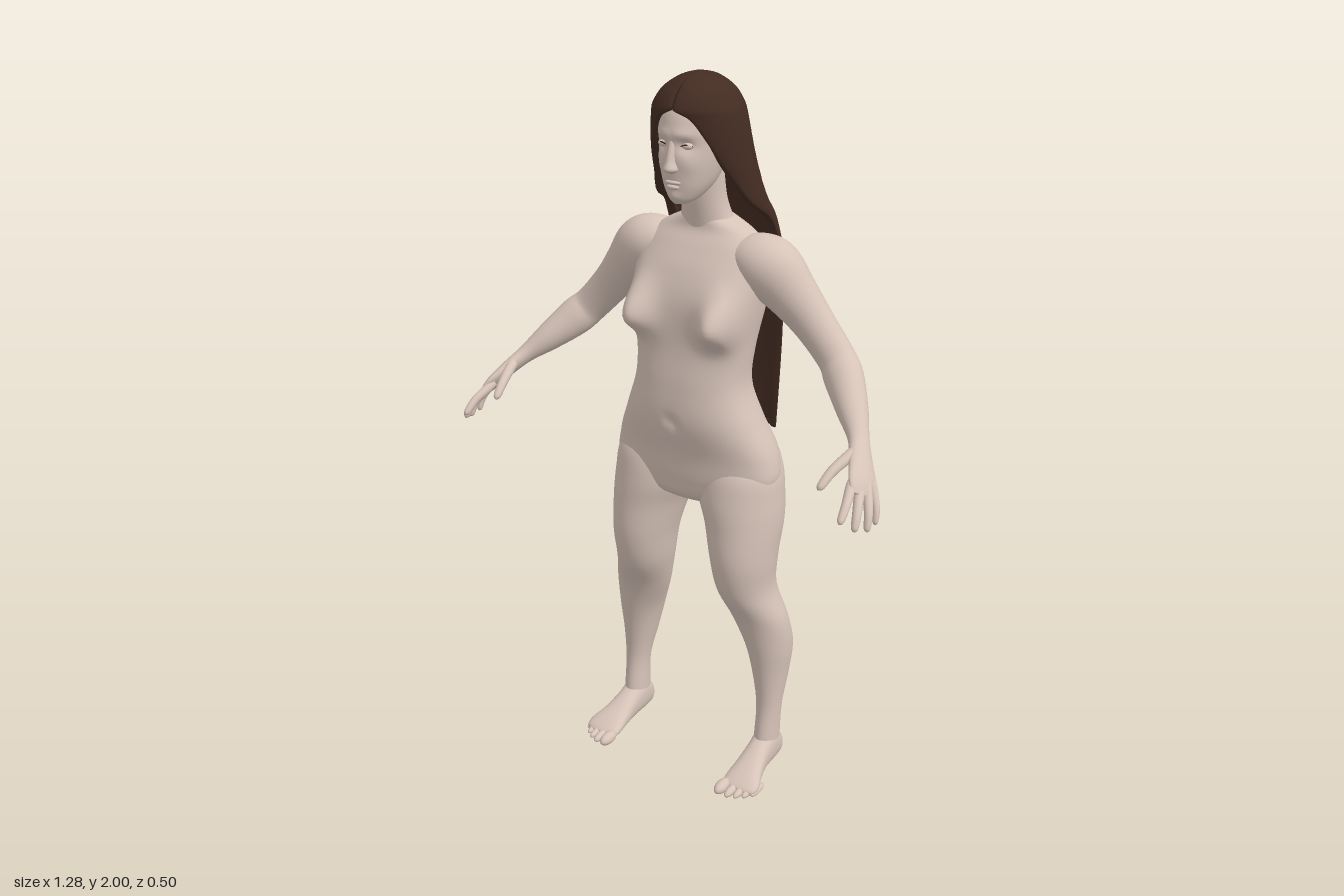
import * as THREE from 'three';

const V3 = (x, y, z) => new THREE.Vector3(x, y, z);
const UP = V3(0, 1, 0), FWD = V3(0, 0, 1), SIDE = V3(1, 0, 0);
const gauss = (d, s) => Math.exp(-(d * d) / (s * s));
const clamp01 = (v) => Math.min(1, Math.max(0, v));

// Smoothly resamples rows of numbers (Catmull-Rom on every column)
function smooth(rows, steps) {
  const out = [], n = rows.length - 1;
  for (let i = 0; i < n; i++) {
    const p0 = rows[Math.max(i - 1, 0)], p1 = rows[i], p2 = rows[i + 1], p3 = rows[Math.min(i + 2, n)];
    for (let s = 0; s < steps; s++) {
      const t = s / steps;
      out.push(p1.map((v, k) => {
        const slope = p2[k] - p0[k];
        const quad = 2 * p0[k] - 5 * v + 4 * p2[k] - p3[k];
        const cubic = 3 * v - p0[k] - 3 * p2[k] + p3[k];
        return v + 0.5 * t * (slope + t * (quad + t * cubic));
      }));
    }
  }
  out.push(rows[n]);
  return out;
}

// Skins a list of closed rings of points and caps both ends
function skin(rings) {
  const n = rings[0].length, pts = rings.flat(), index = [];
  for (let i = 0; i < rings.length - 1; i++) {
    for (let j = 0; j < n; j++) {
      const a = i * n + j, b = i * n + (j + 1) % n;
      index.push(a, b, a + n, b, b + n, a + n);
    }
  }
  const mid = (r) => r.reduce((s, p) => s.add(p), V3(0, 0, 0)).divideScalar(n);
  const last = (rings.length - 1) * n, c0 = pts.length;
  pts.push(mid(rings[0]), mid(rings[rings.length - 1]));
  for (let j = 0; j < n; j++) {
    const k = (j + 1) % n;
    index.push(c0, k, j, c0 + 1, last + j, last + k);
  }
  const g = new THREE.BufferGeometry().setFromPoints(pts);
  g.setIndex(index);
  g.computeVertexNormals();
  return g;
}

// Lofts ovals [x, y, z, radiusU, radiusV]; rings face a fixed axis or follow the path
function loft(rows, { axis = null, hint = SIDE, power = 2, steps = 6, seg = 40, shape = null } = {}) {
  const r = smooth(rows, steps);
  const at = (i) => V3(...r[Math.min(Math.max(i, 0), r.length - 1)].slice(0, 3));
  const bend = (v) => Math.sign(v) * Math.abs(v) ** (2 / power);
  return skin(r.map(([x, y, z, a, b], i) => {
    const T = axis || at(i + 1).sub(at(i - 1)).normalize();
    const V = T.clone().cross(hint).normalize(), U = V.clone().cross(T);
    return Array.from({ length: seg }, (_, j) => {
      const t = j / seg * Math.PI * 2;
      const p = V3(x, y, z).addScaledVector(U, Math.max(a, 0.001) * bend(Math.cos(t)))
        .addScaledVector(V, Math.max(b, 0.001) * bend(Math.sin(t)));
      if (shape) shape(p);
      return p;
    });
  }));
}

function mirrored(g) {
  const m = g.clone().scale(-1, 1, 1), ix = m.index.array;
  for (let i = 0; i < ix.length; i += 3) [ix[i], ix[i + 1]] = [ix[i + 1], ix[i]];
  return m;
}

const ball = (x, y, z, rx, ry, rz) => new THREE.SphereGeometry(1, 20, 14).scale(rx, ry, rz).translate(x, y, z);

// Soft swellings of the chest, seat and belly
function bodyShape(p) {
  const x = Math.abs(p.x);
  const front = clamp01((p.z + 0.04) / 0.06), back = clamp01((-0.05 - p.z) / 0.08);
  p.z += front * 0.075 * gauss(x - 0.13, 0.055) * gauss(p.y - 1.378, p.y > 1.378 ? 0.08 : 0.05);
  p.z -= back * 0.095 * gauss(x - 0.11, 0.085) * gauss(p.y - 0.94, 0.095);
  p.z -= front * 0.012 * gauss(x, 0.015) * gauss(p.y - 1.1, 0.018);
  p.z += back * 0.012 * gauss(x, 0.03) * clamp01((p.y - 1.0) * 5);
}

// Eye sockets, brow, cheeks and chin
function faceShape(p) {
  const x = Math.abs(p.x);
  if (p.z < 0) return;
  p.z -= 0.011 * gauss(x - 0.034, 0.02) * gauss(p.y - 1.835, 0.016);
  p.z += 0.005 * gauss(x - 0.03, 0.03) * gauss(p.y - 1.862, 0.012);
  p.z += 0.005 * gauss(x - 0.045, 0.022) * gauss(p.y - 1.79, 0.025);
  p.z += 0.007 * gauss(x, 0.02) * gauss(p.y - 1.705, 0.014);
}

// Long hair: crescent rings open to the front, [y, width, z, depth, half angle, thickness]
function hairGeometry() {
  const rows = smooth([
    [1.04, 0.163, -0.195, 0.034, 1.57, 0.0], [1.043, 0.163, -0.195, 0.035, 1.57, 0.02],
    [1.3, 0.17, -0.2, 0.04, 1.57, 0.022], [1.5, 0.17, -0.193, 0.042, 1.6, 0.022],
    [1.62, 0.166, -0.158, 0.06, 1.7, 0.022], [1.68, 0.158, -0.11, 0.095, 1.95, 0.022],
    [1.75, 0.145, -0.085, 0.11, 2.2, 0.03], [1.8, 0.136, -0.07, 0.12, 2.33, 0.035],
    [1.85, 0.129, -0.06, 0.122, 2.5, 0.035], [1.9, 0.12, -0.053, 0.122, 2.75, 0.03],
    [1.925, 0.111, -0.05, 0.121, 3.14, 0.025], [1.96, 0.087, -0.05, 0.099, 3.14, 0.02],
    [1.988, 0.045, -0.05, 0.058, 3.14, 0.01], [2.0, 0.004, -0.05, 0.004, 3.14, 0.0],
  ], 6);
  const n = 56;
  return skin(rows.map(([y, a, zc, b, A, t]) => {
    const half = Math.min(A, Math.PI), ring = [];
    const flat = 1 - 0.4 * clamp01((1.72 - y) / 0.15), groove = 0.004 * clamp01((1.85 - y) / 0.3);
    const point = (th, inset) => {
      const c = Math.cos(th), strand = inset ? 0 : groove * Math.sin(th * 17 + Math.sin(th * 7) * 2);
      return V3(Math.max(a - inset, 0) * Math.sin(th), y,
        zc - Math.max(b - inset, 0.002) * Math.sign(c) * Math.abs(c) ** flat - strand);
    };
    for (let j = 0; j <= n; j++) ring.push(point(half * (1 - 2 * j / n), 0));
    for (let j = 0; j <= n; j++) ring.push(point(-half * (1 - 2 * j / n), t));
    return ring;
  }));
}

export function createModel() {
  const model = new THREE.Group();
  const skinMat = new THREE.MeshStandardMaterial({ color: 0xd6c3b8 });
  skinMat.name = 'skin';
  const hairMat = new THREE.MeshStandardMaterial({ color: 0x432c22, side: THREE.DoubleSide });
  hairMat.name = 'darkBrownHair';
  const add = (name, g, mat = skinMat) => {
    const m = new THREE.Mesh(g, mat);
    m.name = name;
    model.add(m);
  };
  const pair = (name, g, mat) => {
    add(name + 'Left', g, mat);
    add(name + 'Right', mirrored(g), mat);
  };

  // Torso, from the hips up to the shoulders
  add('torso', loft([
    [0, 0.83, -0.06, 0.04, 0.04], [0, 0.865, -0.055, 0.16, 0.095], [0, 0.92, -0.05, 0.245, 0.105],
    [0, 1.0, -0.052, 0.242, 0.115], [0, 1.1, -0.037, 0.2, 0.122], [0, 1.2, -0.03, 0.166, 0.11],
    [0, 1.3, -0.04, 0.17, 0.105], [0, 1.42, -0.06, 0.188, 0.115], [0, 1.5, -0.08, 0.195, 0.108],
    [0, 1.56, -0.092, 0.175, 0.085], [0, 1.6, -0.098, 0.13, 0.065], [0, 1.63, -0.095, 0.07, 0.058],
  ], { axis: UP, power: 2.3, steps: 8, seg: 96, shape: bodyShape }));

  // Neck and head
  add('neck', loft([
    [0, 1.57, -0.1, 0.1, 0.06], [0, 1.62, -0.093, 0.074, 0.06], [0, 1.68, -0.078, 0.06, 0.056],
    [0, 1.76, -0.065, 0.058, 0.055],
  ], { axis: UP }));
  add('head', loft([
    [0, 1.686, 0.025, 0.02, 0.025], [0, 1.7, 0.01, 0.04, 0.048], [0, 1.73, -0.01, 0.06, 0.078],
    [0, 1.77, -0.025, 0.073, 0.098], [0, 1.82, -0.035, 0.081, 0.11], [0, 1.88, -0.04, 0.084, 0.112],
    [0, 1.93, -0.045, 0.074, 0.098], [0, 1.965, -0.05, 0.045, 0.06], [0, 1.98, -0.05, 0.01, 0.01],
  ], { axis: UP, steps: 9, seg: 96, shape: faceShape }));
  add('nose', loft([
    [0, 1.768, 0.07, 0.008, 0.01], [0, 1.778, 0.075, 0.019, 0.023], [0, 1.8, 0.073, 0.012, 0.018],
    [0, 1.84, 0.067, 0.009, 0.011], [0, 1.862, 0.062, 0.007, 0.006],
  ], { axis: UP, seg: 24 }));
  add('upperLip', ball(0, 1.744, 0.066, 0.023, 0.006, 0.01));
  add('lowerLip', ball(0, 1.732, 0.064, 0.019, 0.007, 0.011));
  pair('eyelid', ball(0.034, 1.835, 0.053, 0.017, 0.009, 0.011));
  const lashLine = new THREE.CatmullRomCurve3([
    V3(0.017, 1.833, 0.062), V3(0.034, 1.839, 0.063), V3(0.051, 1.836, 0.053)]);
  pair('eyelash', new THREE.TubeGeometry(lashLine, 12, 0.0018, 6), hairMat);
  add('hair', hairGeometry(), hairMat);

  // Legs
  pair('leg', loft([
    [0.235, 0.05, -0.07, 0.034, 0.05], [0.235, 0.1, -0.07, 0.034, 0.048], [0.235, 0.2, -0.078, 0.036, 0.043],
    [0.23, 0.3, -0.09, 0.05, 0.06], [0.222, 0.4, -0.09, 0.067, 0.075], [0.2, 0.5, -0.068, 0.082, 0.077],
    [0.172, 0.6, -0.04, 0.081, 0.095], [0.165, 0.7, -0.035, 0.091, 0.11], [0.155, 0.8, -0.05, 0.107, 0.12],
    [0.139, 0.88, -0.055, 0.12, 0.118], [0.135, 0.96, -0.055, 0.11, 0.1], [0.13, 1.02, -0.055, 0.06, 0.06],
  ], { axis: UP, seg: 56, shape: bodyShape }));

  // Feet with five toes
  pair('foot', loft([
    [0.235, 0.035, -0.131, 0.01, 0.015], [0.235, 0.042, -0.118, 0.028, 0.04], [0.235, 0.058, -0.07, 0.037, 0.058],
    [0.236, 0.047, -0.015, 0.037, 0.047], [0.24, 0.033, 0.04, 0.045, 0.033], [0.246, 0.022, 0.085, 0.055, 0.022],
    [0.246, 0.016, 0.11, 0.05, 0.014], [0.243, 0.014, 0.12, 0.03, 0.008],
  ], { axis: FWD, power: 2.3 }));
  const toes = [[0.205, 0.165, 0.018], [0.234, 0.16, 0.013], [0.257, 0.15, 0.012], [0.277, 0.135, 0.011], [0.294, 0.115, 0.01]];
  toes.forEach(([x, tip, r], i) => pair('toe' + (i + 1), ball(x, r, tip - 0.035, r, r, 0.035)));

  // Arms, tapering into the palms
  const hint = V3(0.76, 0.65, 0);
  pair('arm', loft([
    [0.1, 1.545, -0.088, 0.04, 0.055], [0.15, 1.535, -0.09, 0.07, 0.078], [0.2, 1.51, -0.092, 0.083, 0.08],
    [0.26, 1.45, -0.1, 0.068, 0.064], [0.32, 1.385, -0.105, 0.056, 0.052], [0.39, 1.31, -0.098, 0.051, 0.047],
    [0.43, 1.27, -0.07, 0.053, 0.048], [0.485, 1.215, -0.015, 0.04, 0.041], [0.53, 1.17, 0.035, 0.025, 0.03],
    [0.56, 1.135, 0.078, 0.02, 0.037], [0.588, 1.097, 0.118, 0.016, 0.046], [0.603, 1.072, 0.142, 0.008, 0.038],
  ], { hint }));

  // Fingers: knuckle, middle joint, tip and radius
  const fingers = {
    thumb: [[0.54, 1.15, 0.09], [0.522, 1.125, 0.15], [0.51, 1.09, 0.2], 0.013],
    indexFinger: [[0.575, 1.095, 0.155], [0.587, 1.07, 0.2], [0.592, 1.037, 0.24], 0.0115],
    middleFinger: [[0.592, 1.085, 0.14], [0.61, 1.05, 0.185], [0.618, 1.012, 0.212], 0.0115],
    ringFinger: [[0.604, 1.08, 0.122], [0.626, 1.04, 0.155], [0.634, 1.0, 0.175], 0.011],
    littleFinger: [[0.61, 1.08, 0.102], [0.63, 1.04, 0.122], [0.636, 1.003, 0.135], 0.0095],
  };
  for (const [name, [k, m, t, r]] of Object.entries(fingers)) {
    const back = k.map((v, i) => v - (m[i] - v) * 0.4), nearTip = t.map((v, i) => v + (m[i] - v) * 0.2);
    pair(name, loft([[...back, r, r], [...k, r * 1.15, r * 1.15], [...m, r, r], [...nearTip, r * 0.8, r * 0.8],
      [...t, r * 0.2, r * 0.2]], { hint, seg: 14, steps: 4 }));
  }
  return model;
}
